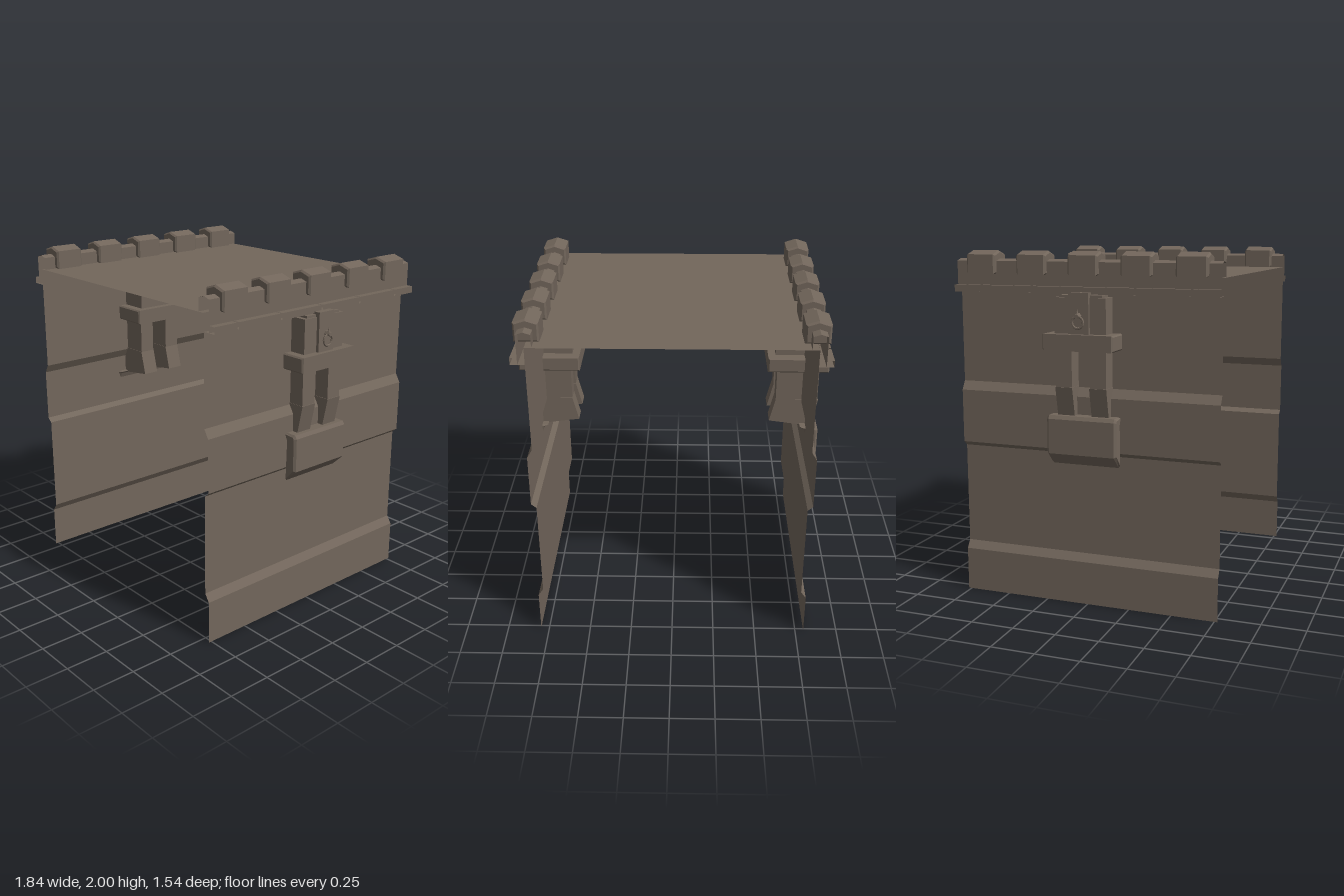
import * as THREE from 'three';

const stone = new THREE.MeshStandardMaterial({ color: 0x72665b, flatShading: true, side: THREE.DoubleSide });
stone.name = 'brown stone';
const HALF = 0.768; // half length of the passage along z

function add(parent, name, geometry, x = 0, y = 0, z = 0) {
  const mesh = new THREE.Mesh(geometry, stone);
  mesh.name = name;
  mesh.position.set(x, y, z);
  parent.add(mesh);
  return mesh;
}

// Thin sheet: an open x/y profile swept from z0 to z1
function sheet(profile, z0 = -HALF, z1 = HALF) {
  const n = profile.length;
  const g = new THREE.PlaneGeometry(1, 1, n - 1, 1);
  const p = g.attributes.position;
  for (let i = 0; i < p.count; i++) {
    const [x, y] = profile[i % n];
    p.setXYZ(i, x, y, i < n ? z1 : z0);
  }
  const flat = g.toNonIndexed();
  flat.computeVertexNormals();
  return flat;
}

// Solid: a closed x/y outline, centred along z, with chamfered ends
function solid(outline, depth, bevel = 0.008) {
  const shape = new THREE.Shape(outline.map(([x, y]) => new THREE.Vector2(x, y)));
  const g = new THREE.ExtrudeGeometry(shape, {
    depth: depth - 2 * bevel, bevelEnabled: bevel > 0,
    bevelThickness: bevel, bevelSize: bevel, bevelOffset: -bevel, bevelSegments: 1,
  });
  return g.translate(0, 0, -depth / 2 + bevel);
}

const rect = (x0, y0, x1, y1) => [[x0, y0], [x1, y0], [x1, y1], [x0, y1]];

function createSide() {
  const side = new THREE.Group();

  // Stepped wall panel
  add(side, 'wall', sheet([
    [0.8, 0], [0.8, 0.25], [0.77, 0.295], [0.77, 0.875], [0.8, 0.9],
    [0.8, 1.205], [0.77, 1.255], [0.77, 1.87],
  ]));

  // Peaked coping along the top of the wall
  add(side, 'coping', sheet([
    [0.73, 1.87], [0.73, 1.942], [0.77, 1.955], [0.81, 1.942], [0.81, 1.77],
  ]));

  // Ledge in sections separated by narrow joints, and the merlons above the joints
  const joints = [-0.61, -0.305, 0, 0.305, 0.61];
  const ends = [-HALF, ...joints, HALF];
  for (let i = 0; i < ends.length - 1; i++) {
    const z0 = ends[i] + (i > 0 ? 0.006 : 0);
    const z1 = ends[i + 1] - (i < ends.length - 2 ? 0.006 : 0);
    add(side, 'ledge', sheet([[0.81, 1.81], [0.85, 1.81], [0.85, 1.772], [0.77, 1.772]], z0, z1));
  }
  for (const z of joints) {
    add(side, 'merlon', solid([
      [0.698, 1.87], [0.836, 1.87], [0.836, 1.978], [0.767, 2.0], [0.698, 1.978],
    ], 0.175, 0.01), 0, 0, z);
  }

  // Bracket: capital block, collar, two legs and outer shield
  const bracket = new THREE.Group();
  bracket.name = 'bracket';
  side.add(bracket);
  add(bracket, 'capital', solid(rect(0.6, 1.55, 0.87, 1.755), 0.3, 0));
  add(bracket, 'capitalTop', solid(rect(0.62, 1.75, 0.86, 1.768), 0.25, 0));
  add(bracket, 'lampPlate', solid(rect(0.81, 1.56, 0.888, 1.782), 0.115, 0));
  add(bracket, 'collar', solid(rect(0.555, 1.47, 0.915, 1.56), 0.41));
  for (const z of [-0.1, 0.1]) {
    add(bracket, 'leg', solid(rect(0.615, 1.265, 0.865, 1.475), 0.095, 0), 0, 0, z);
    add(bracket, 'foot', solid([
      [0.615, 1.265], [0.58, 1.122], [0.78, 1.095], [0.835, 1.1], [0.87, 1.265],
    ], 0.1, 0), 0, 0, z);
  }
  add(bracket, 'shield', solid([
    [0.8, 0.82], [0.875, 0.89], [0.875, 1.085], [0.862, 1.105],
    [0.765, 1.105], [0.787, 1.09], [0.8, 1.06],
  ], 0.41, 0.012));

  // Hanging ring on a pin
  const ring = add(bracket, 'ring', new THREE.TorusGeometry(0.032, 0.007, 6, 16), 0.902, 1.625, 0);
  ring.rotation.y = Math.PI / 2;
  const pin = add(bracket, 'pin', new THREE.CylinderGeometry(0.012, 0.018, 0.035, 6), 0.902, 1.66, 0);
  pin.rotation.z = -Math.PI / 2;
  add(bracket, 'ringDrop', new THREE.ConeGeometry(0.012, 0.05, 6), 0.905, 1.675, 0);

  return side;
}

export function createModel() {
  const model = new THREE.Group();
  model.name = 'battlementPassage';

  const left = createSide();
  left.name = 'leftSide';
  const right = createSide();
  right.name = 'rightSide';
  right.rotation.y = Math.PI;
  model.add(left, right);

  // Flat roof between the walls
  add(model, 'roof', sheet([[-0.77, 1.868], [0.77, 1.868]]));
  return model;
}
